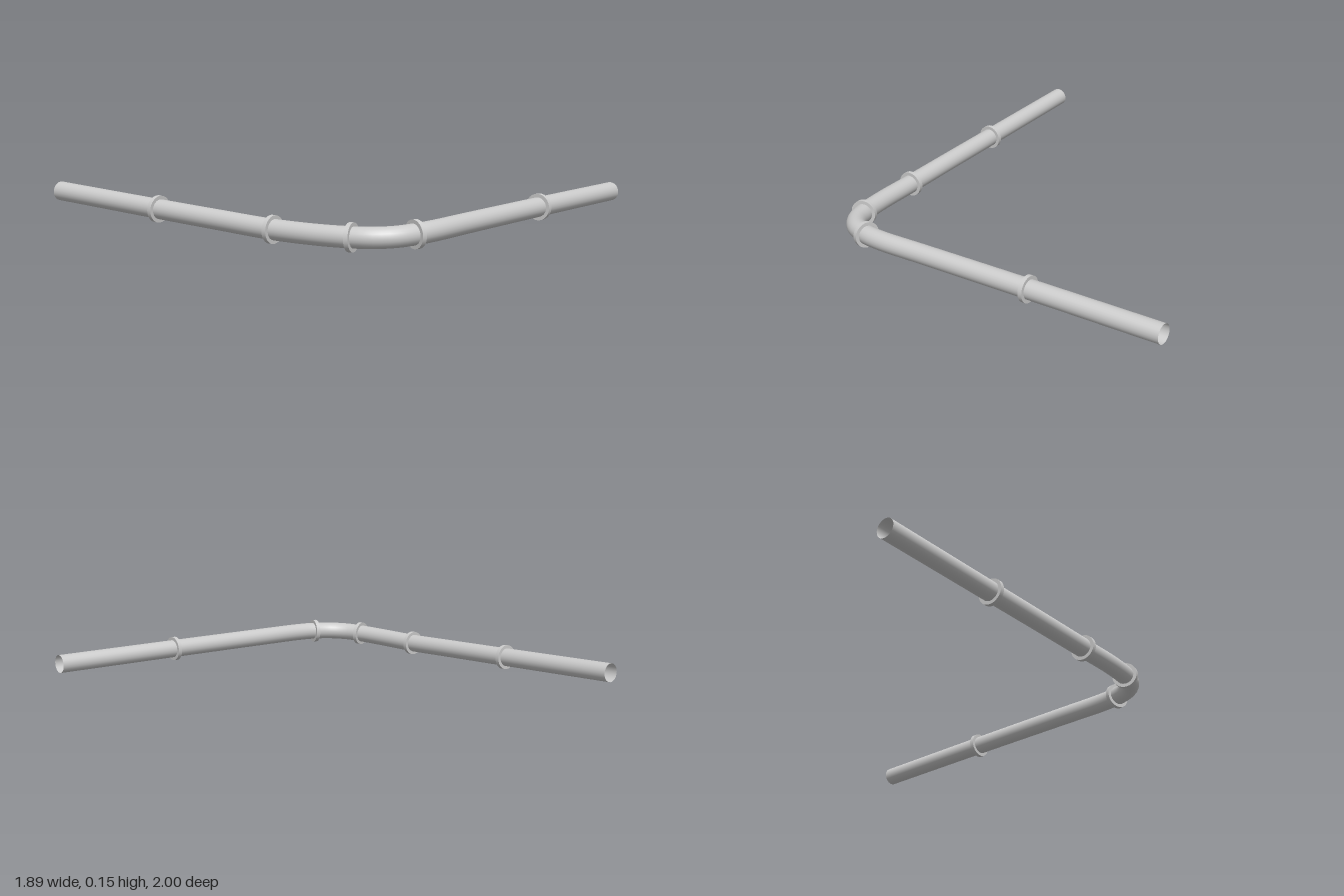
import * as THREE from 'three';
import { toCreasedNormals } from 'three/addons/utils/BufferGeometryUtils.js';

const PIPE_RADIUS = 0.045;

export function createModel() {
  const group = new THREE.Group();
  const material = new THREE.MeshStandardMaterial({ color: 0xcccccc, side: THREE.DoubleSide });

  // Centre line: long straight run, tight elbow, gently rising second run
  const path = new THREE.CatmullRomCurve3([
    [0.945, 0.075, 0.936], [0.28, 0.079, 0.933], [-0.3, 0.081, 0.932], [-0.54, 0.081, 0.931],
    [-0.64, 0.08, 0.917], [-0.73, 0.077, 0.88], [-0.79, 0.074, 0.815], [-0.822, 0.071, 0.73],
    [-0.848, 0.067, 0.58], [-0.865, 0.065, 0.34], [-0.875, 0.073, 0.04],
    [-0.885, 0.084, -0.335], [-0.901, 0.105, -1],
  ].map((p) => new THREE.Vector3(...p)));

  // Open-ended pipe
  const pipe = new THREE.Mesh(new THREE.TubeGeometry(path, 120, PIPE_RADIUS, 24), material);
  pipe.name = 'pipe';
  group.add(pipe);

  // Flat joint collar with a closed rectangular section
  const inner = PIPE_RADIUS - 0.002, outer = 0.061, half = 0.01;
  const section = [[inner, -half], [outer, -half], [outer, half], [inner, half], [inner, -half]]
    .map((p) => new THREE.Vector2(...p));
  const collarGeometry = toCreasedNormals(new THREE.LatheGeometry(section, 32), 0.6);

  // One collar at each joint, square to the pipe (indices into the path points)
  const last = path.points.length - 1;
  const up = new THREE.Vector3(0, 1, 0);
  [1, 4, 7, 9, 11].forEach((index, i) => {
    const collar = new THREE.Mesh(collarGeometry, material);
    collar.name = `jointCollar${i + 1}`;
    collar.position.copy(path.points[index]);
    collar.quaternion.setFromUnitVectors(up, path.getTangent(index / last));
    group.add(collar);
  });

  return group;
}
